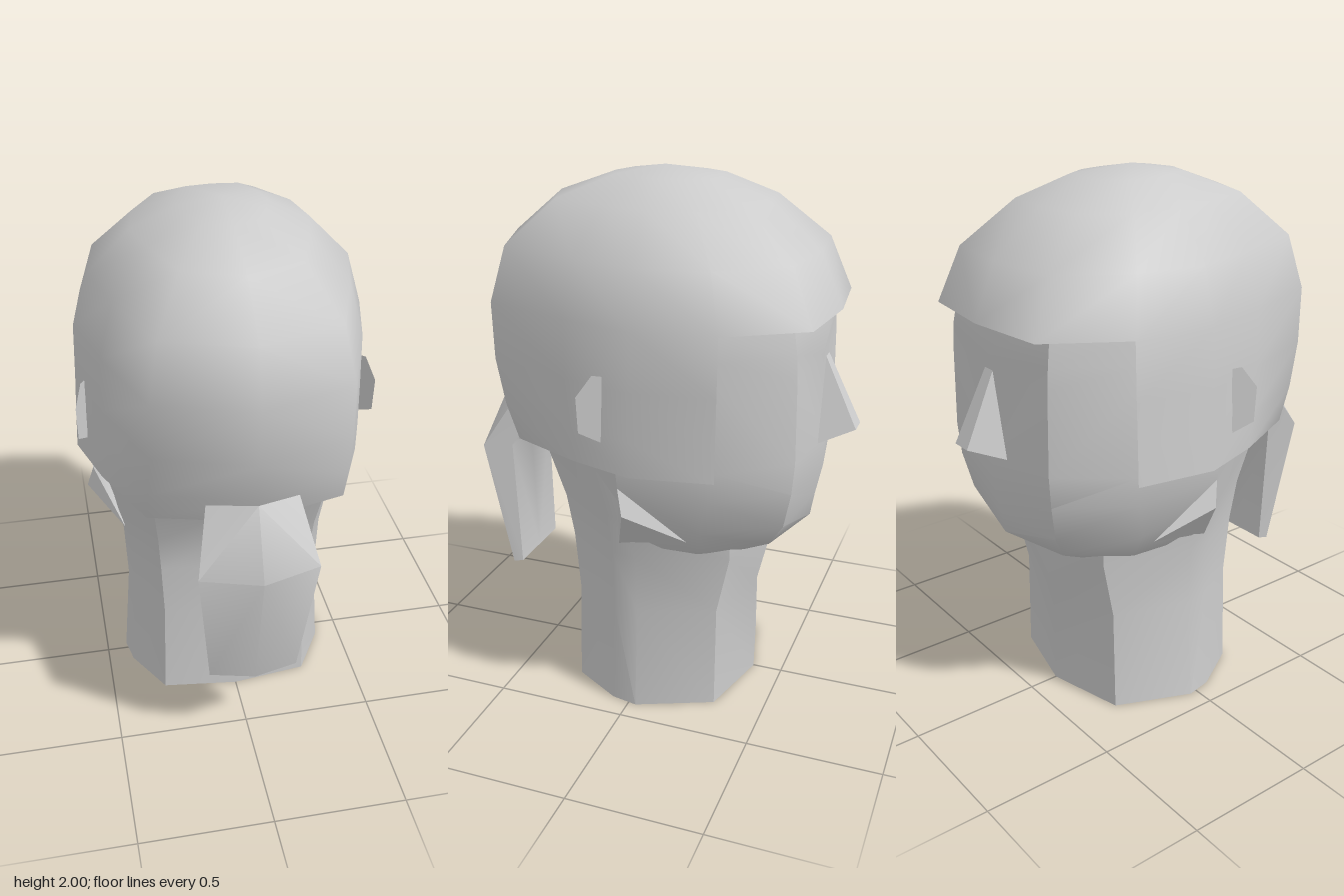
import * as THREE from 'three';
import { toCreasedNormals } from 'three/addons/utils/BufferGeometryUtils.js';

const grey = new THREE.MeshStandardMaterial({ color: 0xcccccc, side: THREE.DoubleSide });
grey.name = 'plain grey';

// Mesh from a list of triangles on the +x half, mirrored to -x.
function mirrored(name, triangles, crease) {
  const pos = [];
  for (const [a, b, c] of triangles) {
    pos.push(...a, ...b, ...c);
    for (const p of [a, c, b]) pos.push(-p[0], p[1], p[2]);
  }
  const geo = new THREE.BufferGeometry();
  geo.setAttribute('position', new THREE.Float32BufferAttribute(pos, 3));
  const mesh = new THREE.Mesh(toCreasedNormals(geo, crease), grey);
  mesh.name = name;
  return mesh;
}

// Skin of half rings listed top to bottom, each running front (-z) to back (+z).
function loft(rings, skip = () => false) {
  const tris = [];
  const same = (p, q) => p.every((v, i) => Math.abs(v - q[i]) < 1e-6);
  const add = (a, b, c) => {
    if (!same(a, b) && !same(b, c) && !same(a, c)) tris.push([a, b, c]);
  };
  for (let r = 0; r + 1 < rings.length; r++) {
    for (let c = 0; c + 1 < rings[r].length; c++) {
      if (skip(r, c)) continue;
      const a = rings[r][c], b = rings[r][c + 1], d = rings[r + 1][c], e = rings[r + 1][c + 1];
      add(a, b, d);
      add(b, e, d);
    }
  }
  return tris;
}

export function createModel() {
  const group = new THREE.Group();

  // Hair: one outline scaled per level; the lower levels are cut away around the face
  const outline = [[0, -1], [0.59, -0.95], [0.91, -0.54], [1, -0.1], [0.87, 0.31], [0.64, 0.83], [0, 1]];
  const hairLevels = [ // y, half width, front depth, back depth
    [2, 0, 0, 0], [1.97, 0.16, 0.21, 0.19], [1.89, 0.32, 0.39, 0.41], [1.73, 0.475, 0.58, 0.6],
    [1.53, 0.535, 0.665, 0.655], [1.32, 0.542, 0.665, 0.645], [1.15, 0.55, 0.665, 0.6], [1.02, 0.555, 0.665, 0.54],
  ];
  const hairRings = hairLevels.map(([y, w, f, b]) =>
    outline.map(([x, z]) => [x * w, y, z * (z < 0 ? f : b)]));
  group.add(mirrored('hair', loft(hairRings, (r, c) => r >= 4 && c < 2), 1.2));

  // Face and jaw, starting with a ledge under the fringe
  const faceRings = [
    hairRings[4].slice(0, 4),
    [[0, 1.53, -0.605], [0.3, 1.53, -0.565], [0.475, 1.53, -0.345], [0.5, 1.53, 0]],
    [[0, 1.44, -0.62], [0.31, 1.44, -0.58], [0.485, 1.44, -0.35], [0.5, 1.44, 0]],
    [[0, 1.36, -0.605], [0.31, 1.36, -0.585], [0.49, 1.36, -0.355], [0.51, 1.36, 0]],
    [[0, 1.05, -0.625], [0.31, 1.05, -0.59], [0.495, 1.05, -0.355], [0.515, 1.05, 0]],
    [[0, 0.93, -0.625], [0.305, 0.93, -0.58], [0.475, 0.93, -0.33], [0.505, 0.95, -0.005]],
    [[0, 0.81, -0.6], [0.28, 0.79, -0.55], [0.43, 0.78, -0.28], [0.47, 0.82, 0]],
    [[0, 0.72, -0.585], [0.235, 0.69, -0.49], [0.36, 0.67, -0.27], [0.4, 0.68, 0.035]],
    [[0, 0.63, -0.44], [0.2, 0.625, -0.37], [0.32, 0.64, -0.22], [0.37, 0.68, 0]],
  ];
  group.add(mirrored('face', loft(faceRings), 0.75));

  // Flared jaw corners, closed toward the neck
  const a = [0.505, 0.95, -0.005], b = [0.53, 0.855, -0.03], c = [0.44, 0.75, -0.24], d = [0.4, 0.68, 0.035];
  group.add(mirrored('jawCorners', [[a, c, b], [b, c, d], [a, b, d]], 0.2));

  // Neck: open at the bottom, widening up into the hair
  const neckLevels = [ // y, front, front corner, side, rear side, rear corner, back (x, z)
    [1.12, [0, -0.44], [0.3, -0.36], [0.5, -0.05], [0.47, 0.14], [0.33, 0.4], [0, 0.49]],
    [1.02, [0, -0.44], [0.3, -0.36], [0.49, -0.04], [0.46, 0.12], [0.325, 0.36], [0, 0.44]],
    [0.79, [0, -0.44], [0.3, -0.36], [0.43, -0.03], [0.41, 0.08], [0.3, 0.29], [0, 0.305]],
    [0.63, [0, -0.44], [0.3, -0.36], [0.4, -0.03], [0.385, 0.07], [0.29, 0.265], [0, 0.29]],
    [0.4, [0, -0.385], [0.29, -0.31], [0.39, -0.03], [0.375, 0.07], [0.28, 0.25], [0, 0.28]],
    [0, [0, -0.385], [0.3, -0.31], [0.42, -0.03], [0.4, 0.07], [0.29, 0.255], [0, 0.29]],
  ];
  const neckRings = neckLevels.map(([y, ...pts]) => pts.map(([x, z]) => [x, y, z]));
  group.add(mirrored('neck', loft(neckRings), 0.6));

  // Nose: narrow bridge widening to a blunt tip
  const bridge = [0.025, 1.36, -0.62], tip = [0.04, 1.1, -0.745], wing = [0.095, 1.05, -0.62];
  const mid = (p) => [0, p[1], p[2]];
  group.add(mirrored('nose', [
    ...loft([[mid(bridge), bridge], [mid(tip), tip], [mid(wing), wing]]),
    [bridge, wing, tip],
  ], 0.2));

  // Ears: thin plates angled out toward the back
  const earShape = [[0.04, 1.36], [0.07, 1.365], [0.12, 1.29], [0.115, 1.16], [0.045, 1.12]];
  const ear = earShape.map(([z, y]) => [0.515 + (z - 0.04) * 0.53, y, z]);
  group.add(mirrored('ears', [1, 2, 3].map((i) => [ear[0], ear[i + 1], ear[i]]), 0.2));

  // Ponytail: ridged at the back, widest at the bend, closed at both ends
  const tailRings = [
    [[0, 1.03, 0.5], [0.14, 1.03, 0.5], [0.165, 1.12, 0.55], [0, 1.16, 0.64]],
    [[0, 0.9, 0.585], [0.165, 0.9, 0.585], [0.215, 0.905, 0.685], [0, 0.905, 0.75]],
    [[0, 0.385, 0.57], [0.155, 0.385, 0.57], [0.165, 0.38, 0.605], [0, 0.38, 0.645]],
  ];
  const cap = ([p, q, r, s]) => [[p, s, q], [q, s, r]];
  group.add(mirrored('ponytail', [
    ...loft(tailRings),
    ...cap(tailRings[0]),
    ...cap(tailRings[2]).map(([p, q, r]) => [p, r, q]),
  ], 0.7));

  return group;
}
